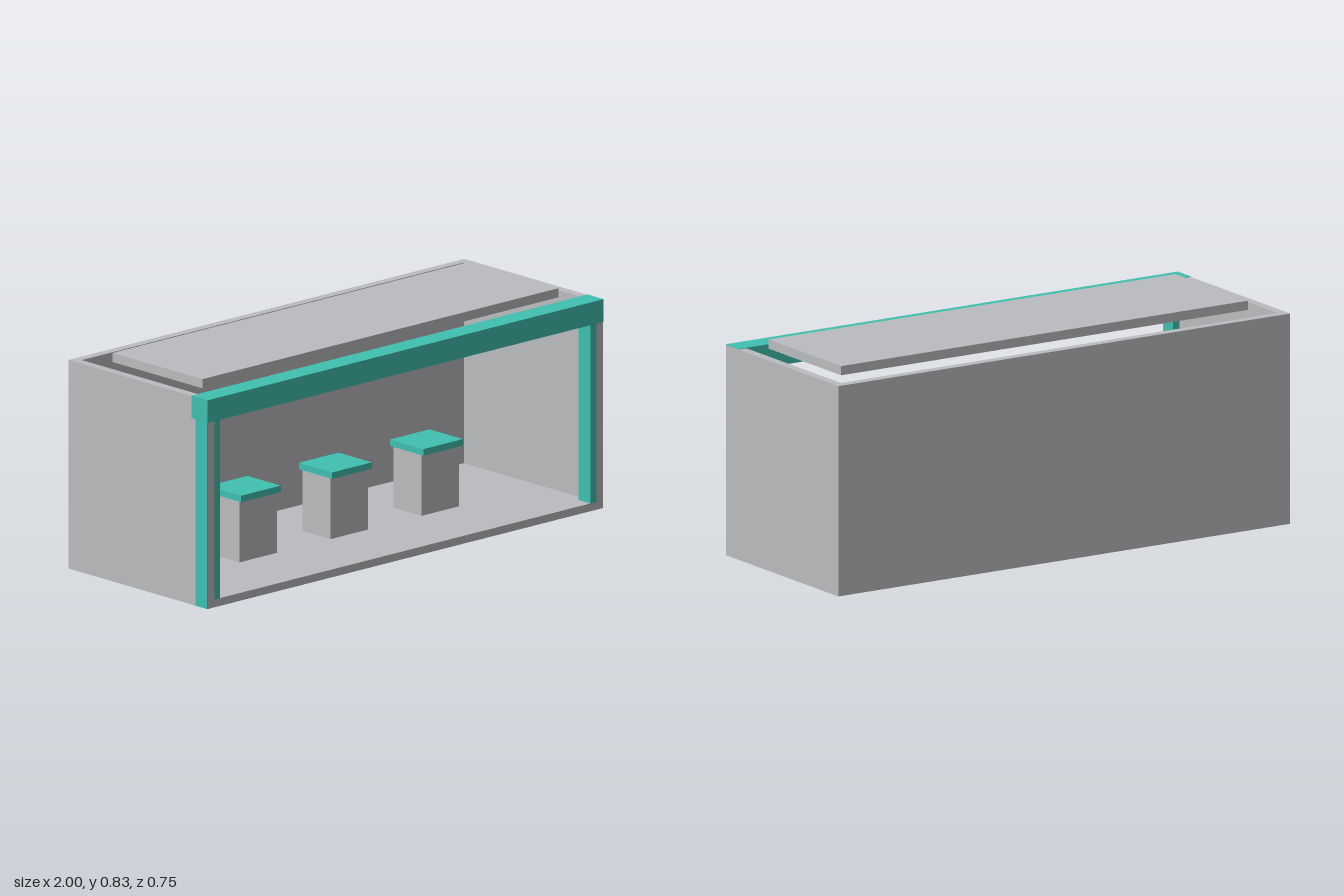
import * as THREE from 'three';

export function createModel() {
  const model = new THREE.Group();
  model.name = 'kiosk';

  const grey = new THREE.MeshStandardMaterial({ color: 0xbbbcbf });
  grey.name = 'grey panel';
  const teal = new THREE.MeshStandardMaterial({ color: 0x40c0b0 });
  teal.name = 'teal trim';

  // Box given by its extents on each axis
  function box(name, material, [x0, x1], [y0, y1], [z0, z1], parent = model) {
    const mesh = new THREE.Mesh(new THREE.BoxGeometry(x1 - x0, y1 - y0, z1 - z0), material);
    mesh.position.set((x0 + x1) / 2, (y0 + y1) / 2, (z0 + z1) / 2);
    mesh.name = name;
    parent.add(mesh);
    return mesh;
  }

  const H = 0.8, back = -0.377, front = 0.374, wall = 0.035, floorTop = 0.03;

  // Open-fronted, open-topped shell
  box('floor', grey, [-1, 1], [0, floorTop], [back, front]);
  box('backWall', grey, [-1, 1], [floorTop, H], [back, back + wall]);
  box('leftWall', grey, [1 - wall, 1], [floorTop, H], [back + wall, front]);
  box('rightWall', grey, [-1, -1 + wall], [floorTop, H], [back + wall, front]);

  // Raised roof panel
  box('roofPanel', grey, [-0.9, 0.9], [H, 0.835], [-0.245, 0.24]);

  // Front beam and the posts just inside the side walls
  box('frontBeam', teal, [-1.001, 0.999], [0.715, H + 0.002], [0.29, 0.377]);
  box('leftPost', teal, [0.935, 1 - wall], [floorTop, 0.715], [0.31, front]);
  box('rightPost', teal, [-1 + wall, -0.935], [floorTop, 0.715], [0.31, front]);

  // Thin trim on the outside of the right wall
  box('rightPostTrim', teal, [-1.001, -1], [0, 0.715], [0.31, front]);

  // Three display stands with coloured tops
  [-0.46, 0, 0.46].forEach((x) => {
    const stand = new THREE.Group();
    stand.name = 'displayStand';
    stand.position.set(x, 0, -0.004);
    box('standBase', grey, [-0.095, 0.095], [floorTop, 0.265], [-0.075, 0.075], stand);
    box('standTop', teal, [-0.1, 0.1], [0.265, 0.29], [-0.09, 0.09], stand);
    model.add(stand);
  });

  return model;
}
